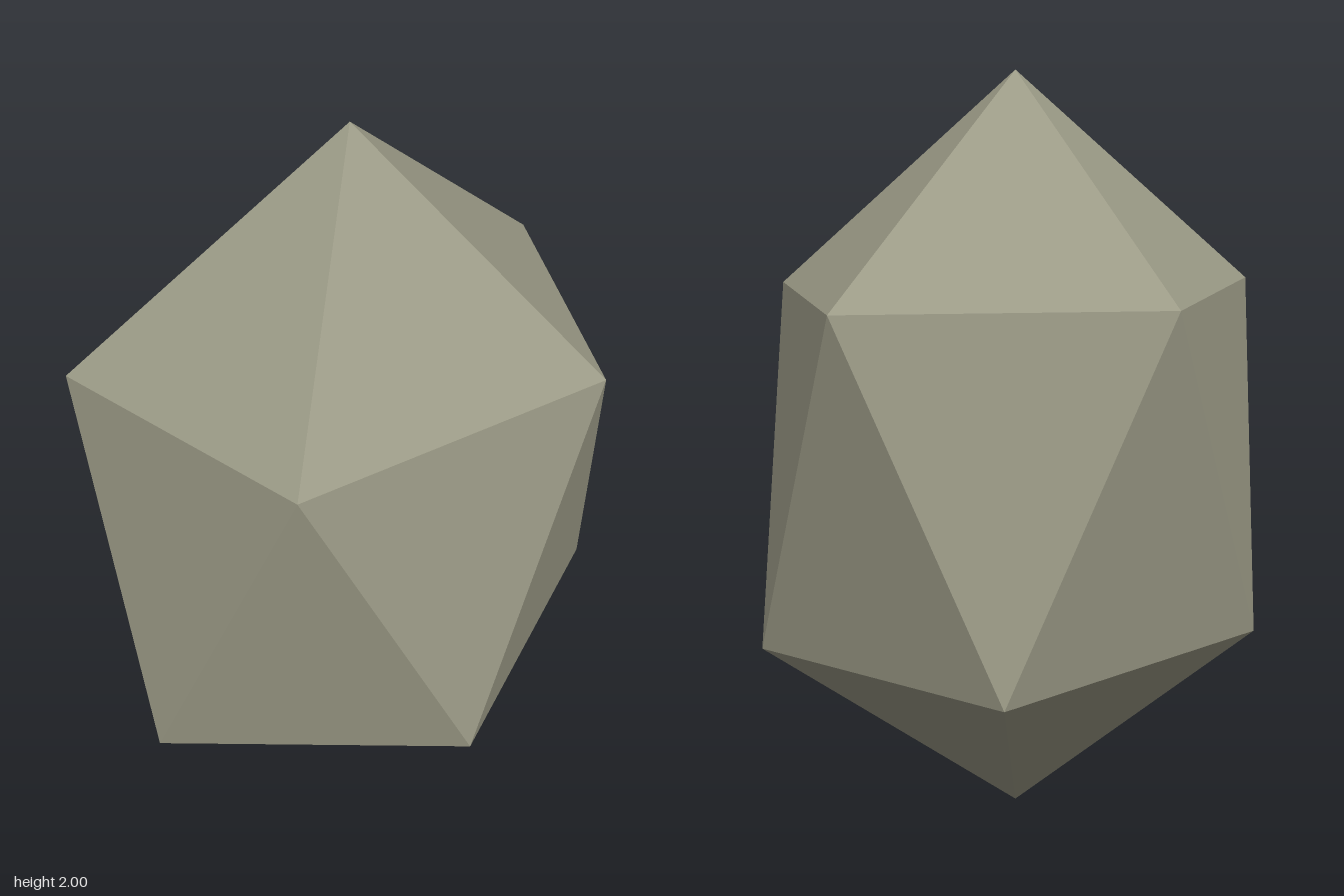
import * as THREE from 'three';

// Tall faceted stone: two poles joined by two staggered five-point rings
function stoneGeometry() {
  const top = [0, 2, 0], bottom = [0, 0, 0];
  const ring = (y, turn) => Array.from({ length: 5 }, (_, k) => {
    const a = (k + turn) * Math.PI * 2 / 5;
    return [0.743 * Math.cos(a), y, 0.639 * Math.sin(a)];
  });
  const upper = ring(1.447, 0), lower = ring(0.553, 0.5);

  const points = [];
  for (let k = 0; k < 5; k++) {
    const n = (k + 1) % 5;
    points.push(
      ...top, ...upper[n], ...upper[k],         // cap
      ...upper[k], ...upper[n], ...lower[k],    // belt, pointing down
      ...lower[k], ...upper[n], ...lower[n],    // belt, pointing up
      ...lower[k], ...lower[n], ...bottom       // base
    );
  }
  const geometry = new THREE.BufferGeometry();
  geometry.setAttribute('position', new THREE.Float32BufferAttribute(points, 3));
  geometry.computeVertexNormals();
  return geometry;
}

export function createModel() {
  const stone = new THREE.MeshStandardMaterial({ color: 0x9b9a86, flatShading: true });
  stone.name = 'stone grey';

  const rock = new THREE.Mesh(stoneGeometry(), stone);
  rock.name = 'rock';

  const model = new THREE.Group();
  model.name = 'facetedRock';
  model.add(rock);
  return model;
}
